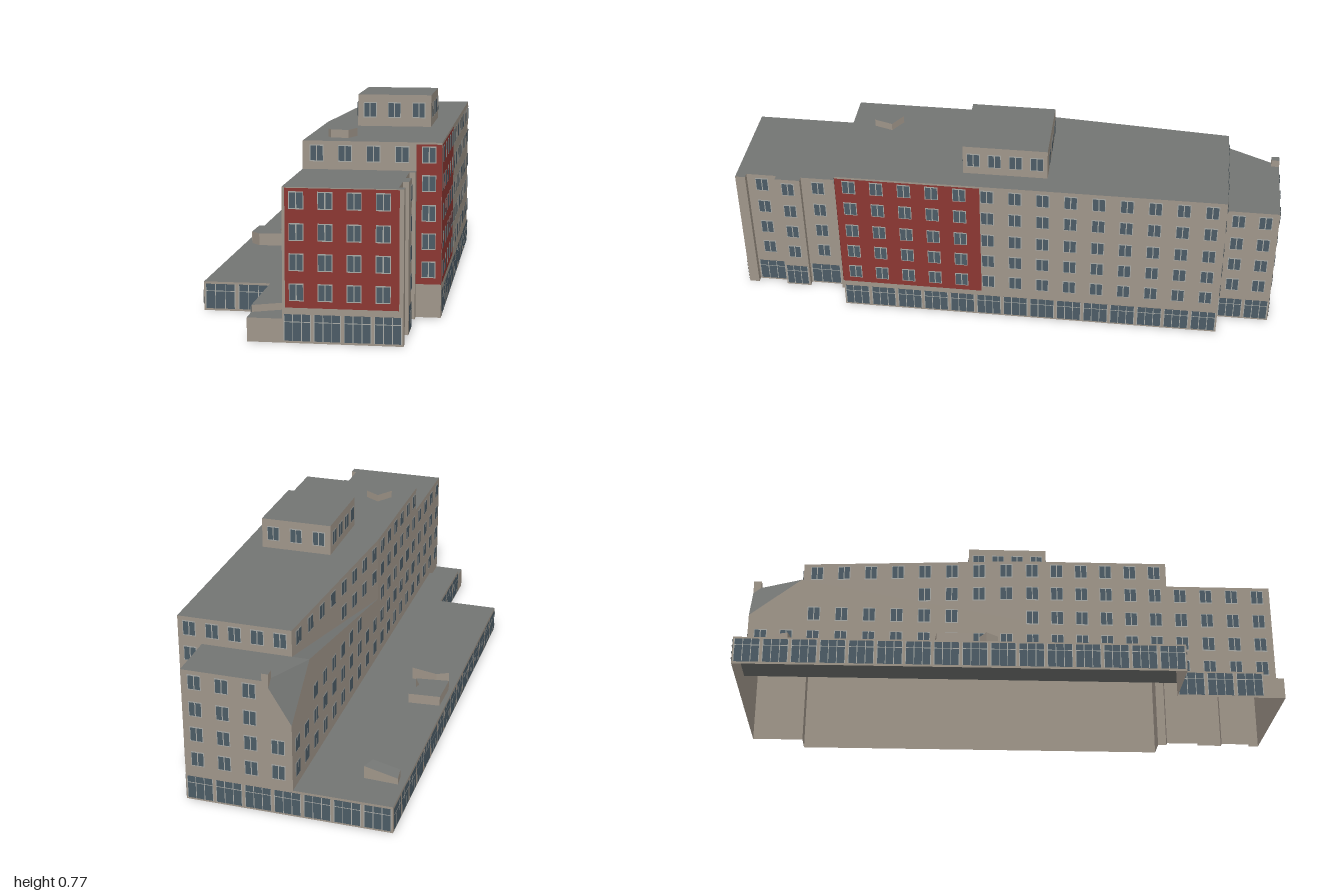
import * as THREE from 'three';
import { mergeGeometries } from 'three/addons/utils/BufferGeometryUtils.js';

const ANGLE = Math.atan2(0.649, 0.761); // plan is turned on the site
const COLORS = { wall: 0xa0968a, red: 0x8c3733, glass: 0x4c5c66, frame: 0xa9aaa6, roof: 0x737573 };
const LOW = 0.11, WING = 0.545, TALL = 0.65;
const FLOORS = [0.18, 0.285, 0.39, 0.5, 0.605];
const WING_FLOORS = FLOORS.slice(0, 4);

export function createModel() {
  const parts = new Map();

  // Collect geometry under a part name and colour
  function add(name, color, geo) {
    if (!parts.has(name)) parts.set(name, { color, list: [] });
    parts.get(name).list.push(geo);
  }
  // Flat polygon (3 or 4 corners, counter-clockwise from outside)
  function face(name, color, pts) {
    const tri = pts.length === 4 ? [0, 1, 2, 0, 2, 3] : [0, 1, 2];
    const g = new THREE.BufferGeometry();
    g.setAttribute('position', new THREE.Float32BufferAttribute(tri.flatMap(i => pts[i]), 3));
    g.computeVertexNormals();
    add(name, color, g);
  }
  // Upright wall between plan points p and q; outside is on the +z side when running +x
  function wall(name, p, q, y0, yp, yq = yp) {
    face(name, 'wall', [[p[0], y0, p[1]], [q[0], y0, q[1]], [q[0], yq, q[1]], [p[0], yp, p[1]]]);
  }
  // Rectangle lying on a wall: s0..s1 along it, y0..y1 up, off outward
  function panel(name, color, p, q, s0, s1, y0, y1, off) {
    const len = Math.hypot(q[0] - p[0], q[1] - p[1]);
    const dx = (q[0] - p[0]) / len, dz = (q[1] - p[1]) / len;
    const at = (s, y) => [p[0] + dx * s - dz * off, y, p[1] + dz * s + dx * off];
    face(name, color, [at(s0, y0), at(s1, y0), at(s1, y1), at(s0, y1)]);
  }
  // Grid of twin-pane windows
  function windows(p, q, n, rows, keep = () => true) {
    const len = Math.hypot(q[0] - p[0], q[1] - p[1]);
    for (let i = 0; i < n; i++) for (const y of rows) {
      const t = (i + 0.5) / n, s = t * len;
      if (!keep(t, y)) continue;
      panel('windowFrames', 'frame', p, q, s - 0.026, s + 0.026, y - 0.031, y + 0.031, 0.003);
      for (const m of [-0.0125, 0.0125])
        panel('windowPanes', 'glass', p, q, s + m - 0.0105, s + m + 0.0105, y - 0.027, y + 0.027, 0.0045);
    }
  }
  // Ground floor glazing in bays of three panes
  function shopfront(p, q, top = 0.102) {
    const len = Math.hypot(q[0] - p[0], q[1] - p[1]);
    const n = Math.max(1, Math.round(len / 0.11)), bay = len / n;
    for (let i = 0; i < n; i++) {
      const a = i * bay + bay * 0.06, w = bay * 0.88;
      panel('shopGlass', 'glass', p, q, a, a + w, 0.008, top, 0.002);
      for (let k = 0; k <= 3; k++) {
        const s = a + (w * k) / 3;
        panel('shopMullions', 'frame', p, q, s - 0.0015, s + 0.0015, 0.008, top, 0.0035);
      }
      panel('shopMullions', 'frame', p, q, a, a + w, 0.074, 0.077, 0.0035);
    }
  }
  // Roof over a plan outline; height may vary over the plan
  function roof(name, pts, height) {
    const g = new THREE.ShapeGeometry(new THREE.Shape(pts.map(([x, z]) => new THREE.Vector2(x, -z))));
    g.rotateX(-Math.PI / 2);
    const h = typeof height === 'function' ? height : () => height;
    const pos = g.attributes.position;
    for (let i = 0; i < pos.count; i++) pos.setY(i, h(pos.getX(i), pos.getZ(i)));
    g.deleteAttribute('uv');
    const flat = g.toNonIndexed();
    flat.computeVertexNormals();
    add(name, 'roof', flat);
  }
  // Small closed volume standing on a roof
  function block(name, pts, y0, height) {
    const h = typeof height === 'function' ? height : () => height;
    pts.forEach((p, i) => {
      const q = pts[(i + 1) % pts.length];
      wall(name + 'Walls', p, q, y0, h(...p), h(...q));
    });
    roof(name + 'Roof', pts, h);
  }
  // Site coordinates to building coordinates
  const local = pts => pts.map(([x, z]) =>
    [x * Math.cos(ANGLE) - z * Math.sin(ANGLE), x * Math.sin(ANGLE) + z * Math.cos(ANGLE)]);

  const L = -1.14, ML = -0.711, MR = 0.8, R = 1.007; // stations along the building
  const F = 0.433, WF = 0.34, B = -0.08, PB = -0.458, SB = -0.205; // stations across it

  // Tall main block: front, returns and upper end walls
  wall('mainFront', [ML, F], [MR, F], 0, TALL);
  wall('mainReturns', [ML, WF], [ML, F], 0, TALL);
  wall('mainReturns', [MR, F], [MR, WF], 0, TALL);
  wall('mainUpperEnds', [ML, B], [ML, WF], WING, TALL);
  wall('mainUpperEnds', [MR, WF], [MR, -0.013], WING, TALL);
  panel('redPanel', 'red', [ML, F], [MR, F], 0, 0.565, 0.125, 0.643, 0.0015);
  panel('redPanel', 'red', [ML, WF], [ML, F], 0, F - WF, 0.125, 0.643, 0.0015);
  windows([ML, F], [MR, F], 14, FLOORS);
  windows([ML, WF], [ML, F], 1, FLOORS);
  windows([MR, F], [MR, WF], 1, FLOORS);
  windows([ML, B], [ML, WF], 4, [0.605]);
  windows([MR, WF], [MR, -0.013], 4, [0.605]);

  // Back wall, its upper part angled inward above a rising ledge
  const bend = [-0.1, B], bendEnd = [MR, -0.013], ledge = t => 0.38 + 0.165 * t;
  wall('mainBack', bend, [ML, B], LOW, TALL);
  wall('mainBack', [MR, B], bend, LOW, WING, 0.38);
  face('mainBack', 'wall', [[MR, WING, -0.013], [-0.1, 0.38, B], [-0.1, TALL, B], [MR, TALL, -0.013]]);
  face('backLedge', 'roof', [[-0.1, 0.38, B], [MR, WING, -0.013], [MR, WING, B]]);
  windows(bend, [ML, B], 6, FLOORS);
  windows([MR, B], bend, 8, FLOORS, (t, y) => y + 0.035 < ledge(1 - t));
  windows(bendEnd, bend, 8, FLOORS, (t, y) => y - 0.035 > ledge(1 - t));
  roof('mainRoof', [[ML, F], [MR, F], bendEnd, bend, [ML, B]], TALL);

  // Left wing with piers and a bay on its front
  const IN = 0.318;
  const wingFront = [[L, WF], [-1.1, WF], [-1.1, IN], [-0.98, IN], [-0.98, WF], [-0.88, WF],
    [-0.88, IN], [-0.746, IN], [-0.746, WF], [ML, WF]];
  for (let i = 0; i + 1 < wingFront.length; i++) wall('leftWingFront', wingFront[i], wingFront[i + 1], 0, WING);
  for (const i of [2, 4, 6]) {
    windows(wingFront[i], wingFront[i + 1], 1, WING_FLOORS);
    shopfront(wingFront[i], wingFront[i + 1]);
  }
  wall('leftWingEnd', [L, B], [L, WF], 0, WING);
  panel('redPanel', 'red', [L, B], [L, WF], 0.01, 0.405, 0.125, WING - 0.003, 0.0015);
  windows([L, B], [L, WF - 0.02], 4, WING_FLOORS);
  shopfront([L, B], [L, WF]);
  wall('leftWingBack', [ML, B], [L, B], 0.085, WING);
  windows([ML, B], [L, B], 4, WING_FLOORS);
  roof('leftWingRoof', [...wingFront, [ML, B], [L, B]], WING);

  // Right wing with a cut-off back corner and chimney
  wall('rightWingFront', [MR, WF], [R, WF], 0, WING);
  windows([MR, WF], [R, WF], 2, WING_FLOORS);
  wall('rightWingEnd', [R, WF], [R, 0.02], 0, WING);
  wall('rightWingEnd', [R, 0.02], [R, B], 0, WING, 0.38);
  windows([R, WF], [R, B], 4, WING_FLOORS, (t, y) => t < 0.8 || y < 0.35);
  wall('rightWingBack', [R, B], [MR, B], LOW, 0.38, WING);
  windows([R, B], [MR, B], 2, FLOORS.slice(0, 2));
  roof('rightWingRoof', [[MR, WF], [R, WF], [R, 0.02], [MR, B]], WING);
  face('cornerSlope', 'roof', [[MR, WING, B], [R, WING, 0.02], [R, 0.38, B]]);
  block('chimney', [[0.975, 0.03], [R, 0.03], [R, 0.005], [0.975, 0.005]], 0.48, 0.575);

  // Single-storey podium along the back
  wall('podiumEnd', [R, B], [R, PB], 0, LOW);
  wall('podiumBack', [R, PB], [ML, PB], 0, LOW);
  wall('podiumSide', [ML, PB], [ML, SB], 0, LOW);
  wall('podiumStrip', [ML, SB], [-1.06, SB], 0, LOW);
  wall('podiumStrip', [-1.06, SB], [L, SB], 0, 0.085);
  wall('podiumStrip', [L, SB], [L, B], 0, 0.085);
  wall('podiumStep', [-1.06, SB], [-1.0, B], 0.085, LOW);
  roof('podiumRoof', [[ML, B], [R, B], [R, PB], [ML, PB], [ML, SB], [-1.06, SB], [-1.0, B]], LOW);
  roof('podiumLowRoof', [[L, B], [-1.0, B], [-1.06, SB], [L, SB]], 0.085);
  shopfront([ML, F], [MR, F]);
  shopfront([MR, WF], [R, WF]);
  shopfront([R, WF], [R, PB]);
  shopfront([R, PB], [ML, PB]);
  shopfront([ML, PB], [ML, SB]);
  shopfront([ML, SB], [-1.06, SB]);

  // Penthouse on the main roof
  const pent = [[-0.22, 0.35], [0.108, 0.35], [0.108, 0.06], [-0.22, 0.06]];
  block('penthouse', pent, TALL, 0.775);
  pent.forEach((p, i) => windows(p, pent[(i + 1) % 4], i % 2 ? 3 : 4, [0.715]));

  // Roof vent and podium skylights
  block('roofVent', local([[-0.455, 0.4], [-0.42, 0.46], [-0.35, 0.43], [-0.36, 0.36], [-0.44, 0.37]]), TALL, 0.68);
  block('skylight', local([[-0.25, -0.3], [-0.17, -0.225], [-0.14, -0.24], [-0.19, -0.34], [-0.24, -0.36]]), LOW, 0.16);
  block('skylight', local([[-0.21, -0.4], [-0.11, -0.31], [-0.09, -0.36], [-0.01, -0.4], [-0.1, -0.49]]), LOW, 0.15);
  block('skylight', local([[0.335, -0.85], [0.4, -0.765], [0.45, -0.78], [0.37, -0.885]]), LOW,
    (x, z) => 0.165 - 0.25 * (x * Math.sin(ANGLE) - z * Math.cos(ANGLE) - 0.765));

  // One mesh per named part, turned to its place on the site
  const building = new THREE.Group();
  building.name = 'building';
  building.rotation.y = ANGLE;
  const mats = {};
  for (const key in COLORS)
    mats[key] = new THREE.MeshStandardMaterial({ color: COLORS[key], side: THREE.DoubleSide });
  for (const [name, { color, list }] of parts) {
    const mesh = new THREE.Mesh(mergeGeometries(list), mats[color]);
    mesh.name = name;
    building.add(mesh);
  }
  const model = new THREE.Group();
  model.name = 'cityBlock';
  model.add(building);
  return model;
}
